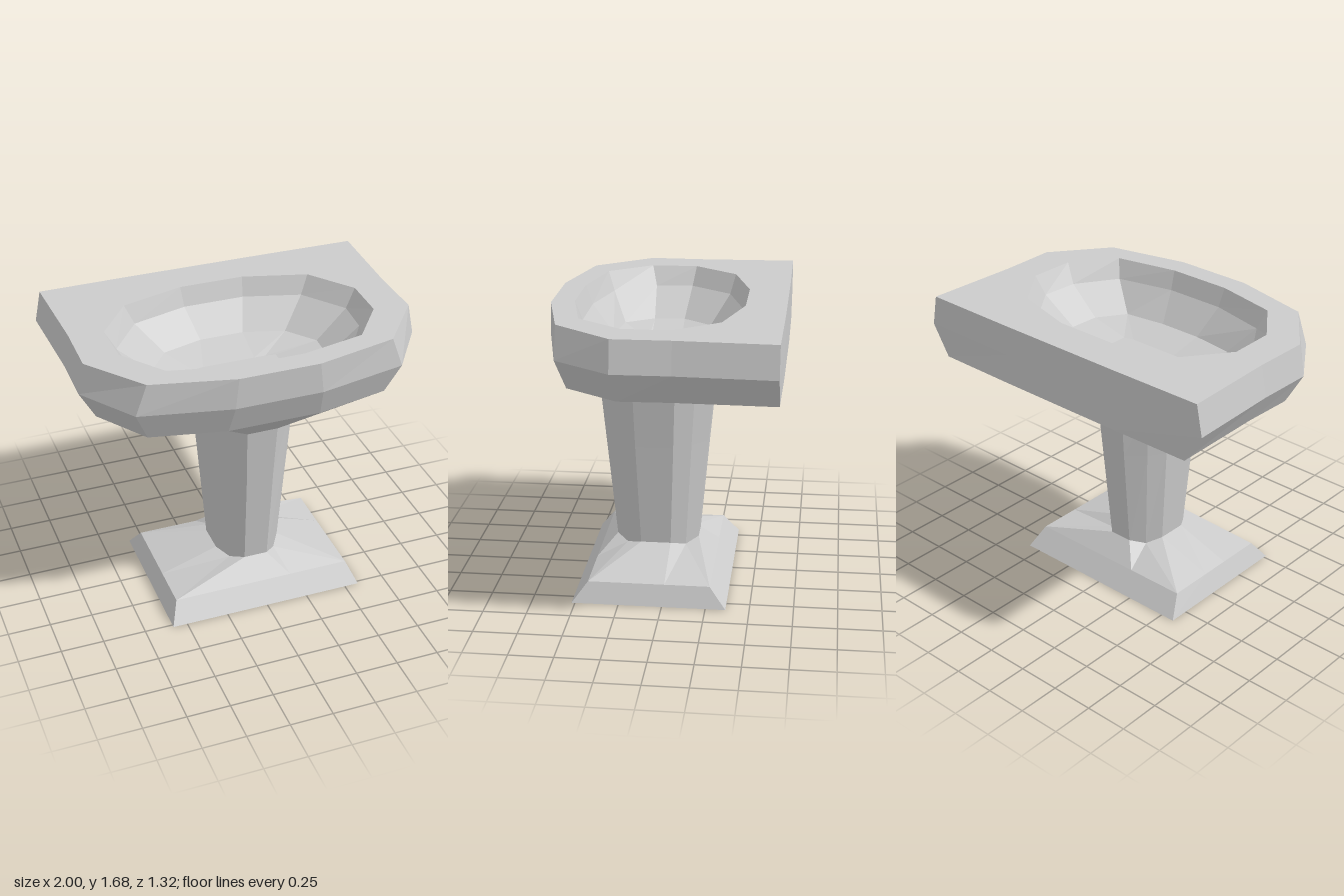
import * as THREE from 'three';

const material = new THREE.MeshStandardMaterial({
  color: 0xcccccc, flatShading: true, side: THREE.DoubleSide,
});

// Six [x, z] points from front to back on the left half, mirrored into a
// 12-sided ring. yDiagonal raises or lowers the two diagonal points.
function ring(y, half, yDiagonal = y) {
  const left = half.map(([x, z], i) => [x, i === 1 || i === 4 ? yDiagonal : y, z]);
  const right = left.map(([x, py, z]) => [-x, py, z]).reverse();
  return [...left, ...right];
}

// Skin between successive rings, optionally closed by a flat cap.
function loft(name, rings, capped = false) {
  const positions = [];
  const tri = (...points) => points.forEach((p) => positions.push(...p));
  for (let r = 0; r < rings.length - 1; r++) {
    const low = rings[r], high = rings[r + 1];
    low.forEach((a, i) => {
      const j = (i + 1) % low.length;
      tri(a, low[j], high[j]);
      tri(a, high[j], high[i]);
    });
  }
  if (capped) {
    const last = rings[rings.length - 1];
    for (let i = 1; i < last.length - 1; i++) tri(last[0], last[i], last[i + 1]);
  }
  const geometry = new THREE.BufferGeometry();
  geometry.setAttribute('position', new THREE.Float32BufferAttribute(positions, 3));
  geometry.computeVertexNormals();
  const mesh = new THREE.Mesh(geometry, material);
  mesh.name = name;
  return mesh;
}

// Rectangle carrying the same twelve points as the column
const rectangle = (w, front, back) =>
  [[w / 3, front], [w, front], [w, 0.165], [w, -0.01], [w, back], [w / 3, back]];

export function createModel() {
  const group = new THREE.Group();
  group.name = 'pedestalSink';

  // Rings shared by neighbouring parts
  const columnFoot = ring(0.23,
    [[0.07, 0.32], [0.14, 0.25], [0.195, 0.165], [0.195, -0.01], [0.14, -0.095], [0.07, -0.165]], 0.205);
  const columnTop = ring(1.155,
    [[0.09, 0.41], [0.2, 0.31], [0.265, 0.2], [0.265, -0.04], [0.2, -0.15], [0.09, -0.25]], 1.175);
  const outerRim = ring(1.68,
    [[0.23, 0.66], [0.7, 0.55], [0.95, 0.225], [0.945, -0.1], [0.965, -0.655], [0.4, -0.66]]);
  const bowlRim = ring(1.68,
    [[0.19, 0.53], [0.56, 0.45], [0.745, 0.2], [0.75, -0.07], [0.56, -0.325], [0.19, -0.43]]);

  // Hollow rectangular foot
  group.add(loft('base', [
    ring(0, rectangle(0.585, 0.52, -0.365)),
    ring(0.117, rectangle(0.535, 0.43, -0.27)),
    columnFoot,
  ]));

  // Tapered column with a slight swelling curve
  group.add(loft('column', [
    columnFoot,
    ring(0.84,
      [[0.08, 0.38], [0.18, 0.29], [0.24, 0.19], [0.24, -0.03], [0.18, -0.13], [0.08, -0.22]]),
    columnTop,
  ]));

  // Outside of the basin
  group.add(loft('basinShell', [
    columnTop,
    ring(1.325,
      [[0.265, 0.59], [0.69, 0.5], [0.89, 0.2], [0.88, -0.1], [0.89, -0.655], [0.4, -0.66]]),
    ring(1.5,
      [[0.25, 0.66], [0.765, 0.55], [0.985, 0.225], [0.98, -0.1], [1, -0.655], [0.4, -0.66]]),
    outerRim,
  ]));

  // Flat top around the bowl
  group.add(loft('basinTop', [outerRim, bowlRim]));

  // Sunken bowl
  group.add(loft('bowl', [
    bowlRim,
    ring(1.57,
      [[0.18, 0.49], [0.52, 0.41], [0.675, 0.17], [0.69, -0.05], [0.51, -0.295], [0.18, -0.39]]),
    ring(1.41,
      [[0.13, 0.36], [0.38, 0.325], [0.49, 0.16], [0.5, -0.02], [0.37, -0.19], [0.13, -0.26]]),
    ring(1.36,
      [[0.12, 0.165], [0.19, 0.165], [0.25, 0.15], [0.25, -0.03], [0.19, -0.04], [0.12, -0.04]]),
  ], true));

  return group;
}
